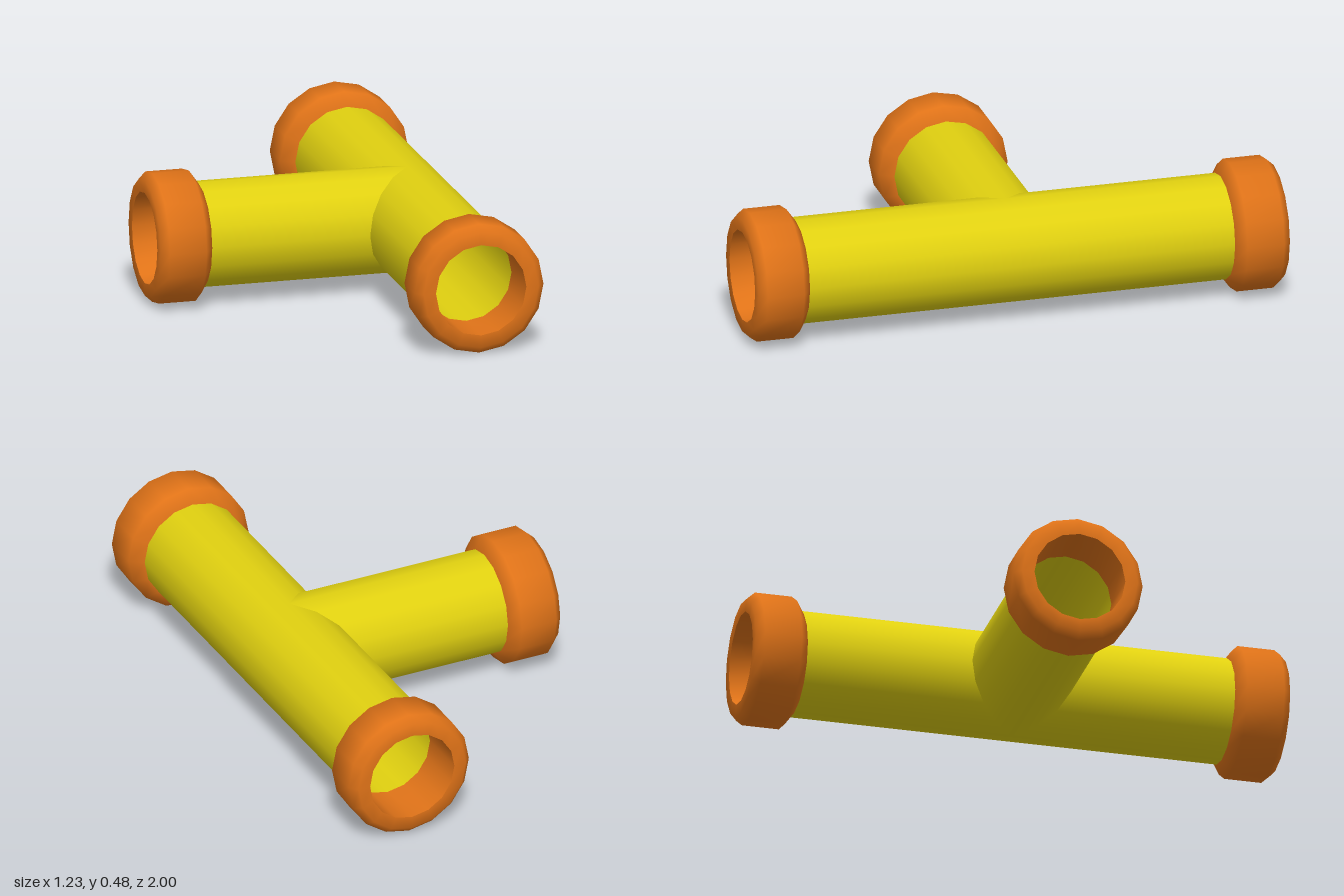
import * as THREE from 'three';
import { toCreasedNormals } from 'three/addons/utils/BufferGeometryUtils.js';

const SIDES = 16, PIPE_R = 0.194, AXIS_X = 0.373, AXIS_Y = 0.243;
const BRANCH_Z = 0.01, COLLAR_L = 0.2;

export function createModel() {
  const model = new THREE.Group();
  const yellow = new THREE.MeshStandardMaterial({ color: 0xe0d010, side: THREE.DoubleSide });
  const orange = new THREE.MeshStandardMaterial({ color: 0xe07318 });

  // Collar ring with chamfered back, rounded lip and straight bore; its lip points along +y
  const profile = [
    [0.17, 0], [PIPE_R, 0], [0.242, 0.034], [0.242, 0.172],
    [0.216, COLLAR_L], [0.17, COLLAR_L], [0.17, 0],
  ].map(([r, y]) => new THREE.Vector2(r, y));
  const collarGeo = toCreasedNormals(new THREE.LatheGeometry(profile, SIDES), 1.0);

  const up = new THREE.Vector3(0, 1, 0);

  // An arm is an open tube running from start along dir, ending in a collar
  function addArm(name, start, dir, length) {
    const arm = new THREE.Group();
    arm.name = name;
    const tubeL = length - COLLAR_L;
    const tubeGeo = new THREE.CylinderGeometry(PIPE_R, PIPE_R, tubeL, SIDES, 1, true);
    tubeGeo.translate(0, tubeL / 2, 0);
    const tube = new THREE.Mesh(tubeGeo, yellow);
    tube.name = name + 'Tube';
    const collar = new THREE.Mesh(collarGeo, orange);
    collar.name = name + 'Collar';
    collar.position.y = tubeL;
    arm.add(tube, collar);
    arm.position.copy(start);
    arm.quaternion.setFromUnitVectors(up, dir);
    model.add(arm);
  }

  // Straight run, front and back halves
  for (const [name, s] of [['frontArm', 1], ['backArm', -1]]) {
    addArm(name, new THREE.Vector3(AXIS_X, AXIS_Y, 0), new THREE.Vector3(0, 0, s), 1);
  }
  // Side branch, starting on the axis of the run
  addArm('sideBranch', new THREE.Vector3(AXIS_X, AXIS_Y, BRANCH_Z), new THREE.Vector3(-1, 0, 0), AXIS_X + 0.615);

  return model;
}
